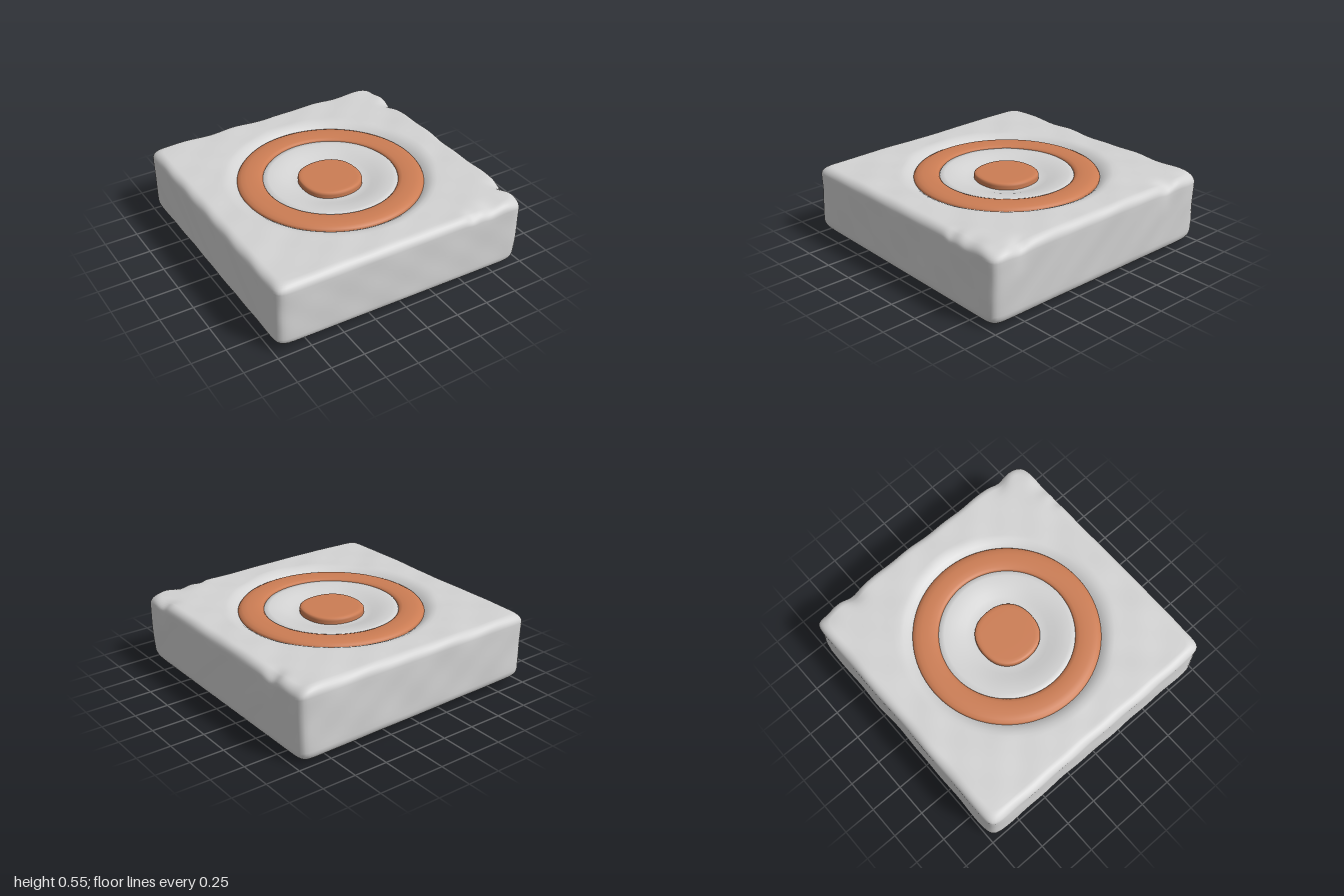
import * as THREE from 'three';

const SEG = 384;

// gentle hand-hewn unevenness
const lump = (x, y, z) =>
  0.4 * Math.sin(5.1 * x + 2.3 * z + 1) * Math.sin(4.3 * z - 3 * y) +
  0.35 * Math.sin(11 * x - 7 * y + 2) * Math.sin(9 * z + 6 * y + 0.5) +
  0.25 * Math.sin(19 * z + 13 * y) * Math.sin(17 * x + 9 * y + 1.7);

// worn chips along the upper edges: x, z, radius, depth
const chips = [
  [0.97, -0.66, 0.07, 0.03], [0.97, 0.76, 0.07, 0.03], [0.72, 0.97, 0.08, 0.025],
  [0.56, 0.97, 0.05, 0.02], [0.99, -0.9, 0.09, 0.02], [0.97, 0.97, 0.1, 0.02],
];

// one closed skin of loops: square outside, blending to circles in the dish
function slabGeometry() {
  const loops = []; // [size, y, squareness]
  for (const s of [0, 0.3, 0.6, 0.8]) loops.push([s, 0, 1]);
  const r = 0.085;
  for (let i = 0; i <= 7; i++) {
    const a = (i / 7) * Math.PI / 2;
    loops.push([0.99 - r + r * Math.sin(a), r - r * Math.cos(a), 1]);
  }
  for (let i = 1; i < 10; i++) loops.push([0.99, r + (i / 10) * (0.535 - r - 0.065), 1]);
  for (let i = 0; i <= 7; i++) {
    const a = (i / 7) * Math.PI / 2;
    loops.push([0.99 - 0.065 * (1 - Math.cos(a)), 0.47 + 0.065 * Math.sin(a), 1]);
  }
  for (let i = 1; i <= 9; i++) {
    const t = i / 9;
    loops.push([0.925 + (0.77 - 0.925) * t, 0.535, 1 - t]);
  }
  const dish = [[0.74, 0.531], [0.71, 0.518], [0.685, 0.5], [0.67, 0.485], [0.58, 0.48], [0.5, 0.485],
    [0.485, 0.508], [0.45, 0.51], [0.4, 0.504], [0.35, 0.493], [0.3, 0.478], [0.26, 0.468], [0.22, 0.465], [0, 0.465]];
  for (const [s, y] of dish) loops.push([s, y, 0]);

  const pos = [], index = [];
  loops.forEach(([s, h, square], j) => {
    for (let i = 0; i < SEG; i++) {
      const a = (i / SEG) * Math.PI * 2, c = Math.cos(a), d = Math.sin(a);
      const q = Math.pow(Math.abs(c) ** 30 + Math.abs(d) ** 30, -1 / 30);
      const k = s * (1 + (q - 1) * square);
      let x = c * k, z = d * k;
      // underside tilts slightly, rising towards -x
      const t = h / 0.535, base = 0.033 - 0.018 * x;
      let y = base + (0.558 - base) * t;
      const wide = s > 0.75 ? 1 : 0.35;
      const n = lump(x, y, z);
      y += n * 0.008 * wide;
      const push = 1 + n * 0.009 * (s > 0.9 ? 1 : 0);
      x *= push;
      z *= push;
      if (t > 0.6) {
        for (const [cx, cz, rad, depth] of chips) {
          const g = depth * Math.exp(-((x - cx) ** 2 + (z - cz) ** 2) / (rad * rad)) * (t - 0.6) / 0.4;
          y -= g;
          x -= g * 0.5 * Math.sign(cx);
        }
      }
      // the +x side leans in towards the bottom
      if (x > 0.8) x -= 0.025 * (1 - t) * (x - 0.8) / 0.2;
      pos.push(x, y, z);
      if (j < loops.length - 1) {
        const p = j * SEG + i, next = j * SEG + (i + 1) % SEG;
        index.push(p, p + SEG, next, next, p + SEG, next + SEG);
      }
    }
  });
  const g = new THREE.BufferGeometry();
  g.setAttribute('position', new THREE.Float32BufferAttribute(pos, 3));
  g.setIndex(index);
  g.computeVertexNormals();
  return g;
}

const lathe = (points) =>
  new THREE.LatheGeometry(points.map(([x, y]) => new THREE.Vector2(x, y)), 128);

export function createModel() {
  const stone = new THREE.MeshStandardMaterial({ color: 0xd3d3d3 });
  stone.name = 'pale stone';
  const clay = new THREE.MeshStandardMaterial({ color: 0xcc7d54 });
  clay.name = 'terracotta';

  const group = new THREE.Group();
  const add = (name, geometry, material) => {
    const mesh = new THREE.Mesh(geometry, material);
    mesh.name = name;
    group.add(mesh);
    return mesh;
  };

  add('slab', slabGeometry(), stone);

  // softly domed ring set in the dish
  add('outerRing', lathe([[0.675, 0.49], [0.677, 0.52], [0.668, 0.533], [0.645, 0.544], [0.61, 0.55],
    [0.56, 0.55], [0.52, 0.546], [0.5, 0.539], [0.49, 0.528], [0.489, 0.49]]), clay);

  // flat central button, very slightly squared
  const disc = lathe([[0.229, 0.46], [0.231, 0.515], [0.229, 0.527], [0.222, 0.534], [0.208, 0.537],
    [0.19, 0.538], [0.1, 0.538], [0, 0.538]]);
  const p = disc.attributes.position;
  for (let i = 0; i < p.count; i++) {
    const a = Math.atan2(p.getZ(i), p.getX(i)), k = 1 - 0.02 * Math.cos(4 * a);
    p.setX(i, p.getX(i) * k - 0.005);
    p.setZ(i, p.getZ(i) * k);
  }
  add('centerDisc', disc, clay);

  return group;
}
